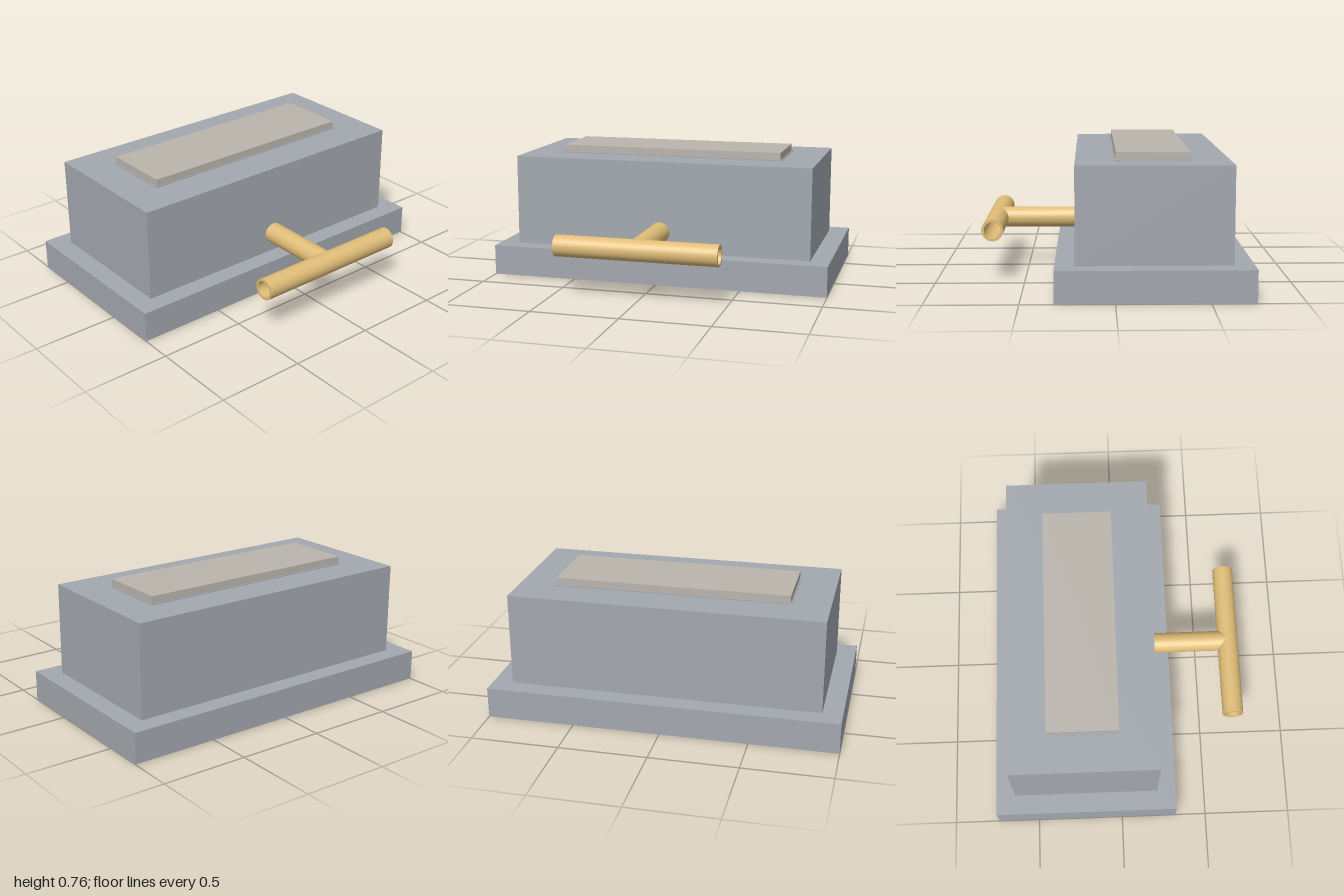
import * as THREE from 'three';

const steel = new THREE.MeshStandardMaterial({ color: 0xa3a8af });
const stone = new THREE.MeshStandardMaterial({ color: 0xbab5ad });
const brass = new THREE.MeshStandardMaterial({ color: 0xe0bd78 });

// Box given by its extents on each axis
function block(name, [x0, x1], [y0, y1], [z0, z1], material) {
  const mesh = new THREE.Mesh(new THREE.BoxGeometry(x1 - x0, y1 - y0, z1 - z0), material);
  mesh.position.set((x0 + x1) / 2, (y0 + y1) / 2, (z0 + z1) / 2);
  mesh.name = name;
  return mesh;
}

// Hollow pipe along z, starting at z = 0
function pipe(name, outer, inner, length) {
  const shape = new THREE.Shape().absarc(0, 0, outer, 0, Math.PI * 2, false);
  shape.holes.push(new THREE.Path().absarc(0, 0, inner, 0, Math.PI * 2, true));
  const geometry = new THREE.ExtrudeGeometry(shape, { depth: length, bevelEnabled: false, curveSegments: 48 });
  const mesh = new THREE.Mesh(geometry, brass);
  mesh.name = name;
  return mesh;
}

export function createModel() {
  const model = new THREE.Group();
  model.name = 'boxWithHandle';

  // Plinth and main body
  model.add(block('base', [-1, 1], [0.002, 0.178], [-0.74, 0.32], steel));
  model.add(block('body', [-0.887, 0.887], [0.17, 0.71], [-0.63, 0.212], steel));

  // Raised top plate on a thin seat, and a flush plate underneath
  model.add(block('topPlateSeat', [-0.675, 0.675], [0.7, 0.715], [-0.42, -0.002], steel));
  model.add(block('topPlate', [-0.668, 0.668], [0.712, 0.757], [-0.413, -0.008], stone));
  model.add(block('bottomPlate', [-0.668, 0.668], [0, 0.04], [-0.413, -0.008], steel));

  // T-shaped pipe handle on the front
  const handle = new THREE.Group();
  handle.name = 'handle';
  handle.position.y = 0.293;
  const stem = pipe('handleStem', 0.06, 0.046, 0.475);
  stem.position.z = 0.205;
  const bar = pipe('handleBar', 0.0615, 0.047, 0.934);
  bar.rotation.y = Math.PI / 2;
  bar.position.set(-0.467, 0, 0.679);
  handle.add(stem, bar);
  model.add(handle);

  return model;
}
